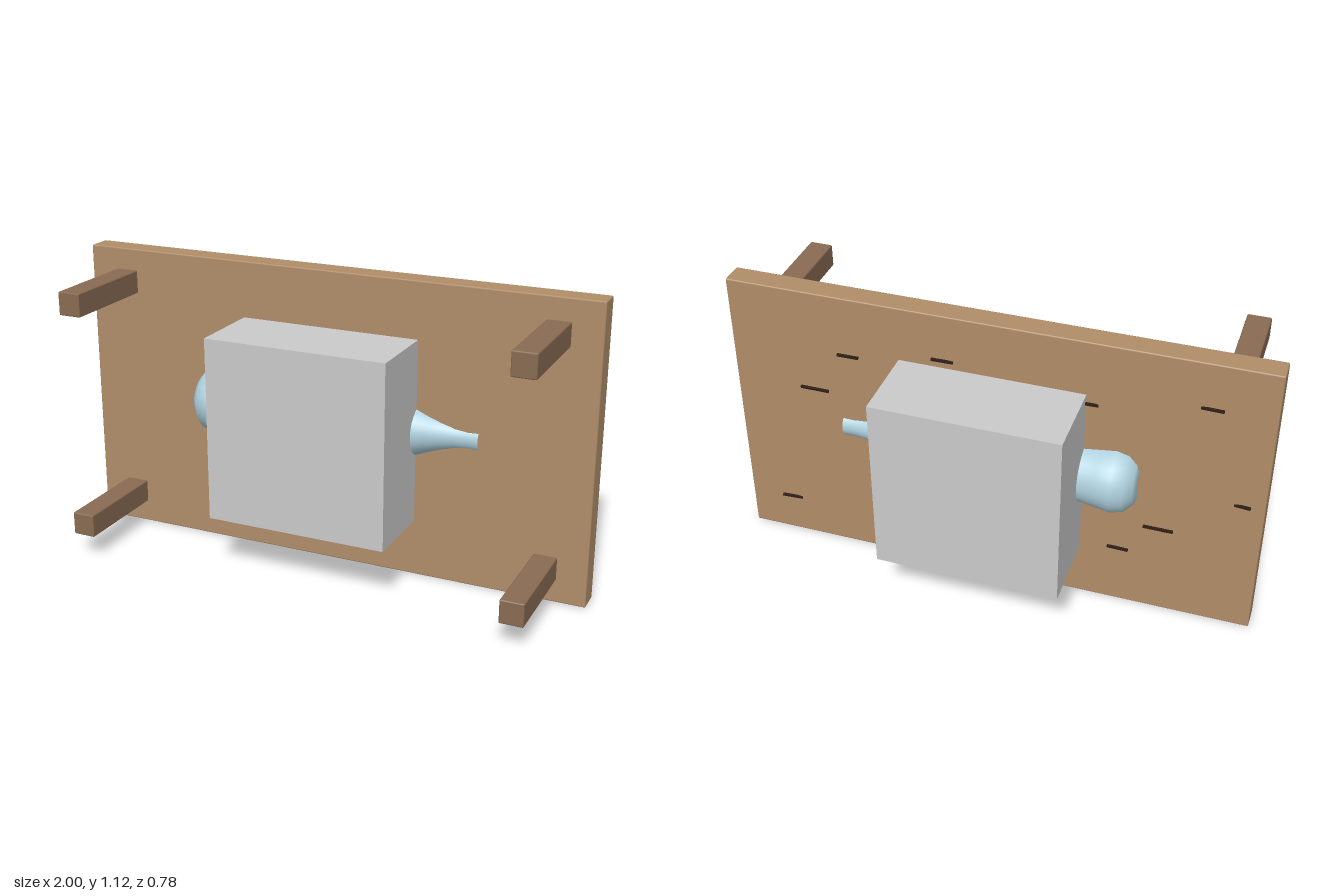
import * as THREE from 'three';
import { RoundedBoxGeometry } from 'three/addons/geometries/RoundedBoxGeometry.js';

const mat = (name, color, side = THREE.FrontSide) => {
  const m = new THREE.MeshStandardMaterial({ color, side });
  m.name = name;
  return m;
};

export function createModel() {
  const group = new THREE.Group();
  const wood = mat('light wood', 0xb08d69);
  const darkWood = mat('dark wood', 0x896b52);
  const grey = mat('pale grey', 0xcacaca);
  const blue = mat('pale blue', 0xadcfdc, THREE.DoubleSide);
  const dark = mat('dark brown', 0x2e2018);

  const add = (name, geometry, material, x, y, z) => {
    const mesh = new THREE.Mesh(geometry, material);
    mesh.name = name;
    mesh.position.set(x, y, z);
    group.add(mesh);
    return mesh;
  };

  // Upright table top with four legs pointing forward
  add('tableTop', new RoundedBoxGeometry(2, 1.12, 0.09, 1, 0.005), wood, 0, 0.56, -0.045);
  for (const x of [-0.845, 0.845]) {
    for (const y of [0.132, 0.995]) {
      add('leg', new RoundedBoxGeometry(0.088, 0.088, 0.39, 1, 0.005), darkWood, x, y, 0.195);
    }
  }

  // Block passing through the table top
  add('block', new THREE.BoxGeometry(0.69, 0.69, 0.69), grey, 0, 0.563, -0.046);

  // Vase lying along x: closed bulb on one end, open neck on the other
  const profile = [
    [0, -0.545], [0.07, -0.548], [0.098, -0.54], [0.132, -0.51], [0.144, -0.465],
    [0.136, -0.41], [0.127, -0.35], [0.12, -0.2], [0.122, 0], [0.12, 0.2], [0.105, 0.34],
    [0.085, 0.39], [0.07, 0.44], [0.059, 0.49], [0.055, 0.54], [0.056, 0.58],
  ].map(([r, h]) => new THREE.Vector2(r, h));
  const vase = add('vase', new THREE.LatheGeometry(profile, 32), blue, 0, 0.562, -0.048);
  vase.rotation.z = -Math.PI / 2;
  vase.scale.set(0.95, 1, 1.06);

  // Thin slivers on the back face: x, y, length, tilt away from the surface
  const slivers = [
    [0.54, 0.886, 0.08, 0.05], [0.178, 0.942, 0.08, 0.15], [0.683, 0.714, 0.11, 0],
    [0.825, 0.168, 0.08, 0.18], [0.25, 0.33, 0.07, -0.1], [-0.13, 0.18, 0.08, -0.15],
    [-0.36, 0.875, 0.06, 0.2], [-0.78, 0.946, 0.08, -0.15], [-0.92, 0.562, 0.06, -0.3],
    [-0.633, 0.384, 0.11, 0], [-0.49, 0.255, 0.08, -0.1],
  ];
  for (const [x, y, length, tilt] of slivers) {
    const sliver = add('sliver', new THREE.BoxGeometry(length, 0.009, 0.009), dark, x, y, -0.097);
    sliver.rotation.set(0, tilt, tilt * 0.6);
  }

  return group;
}
